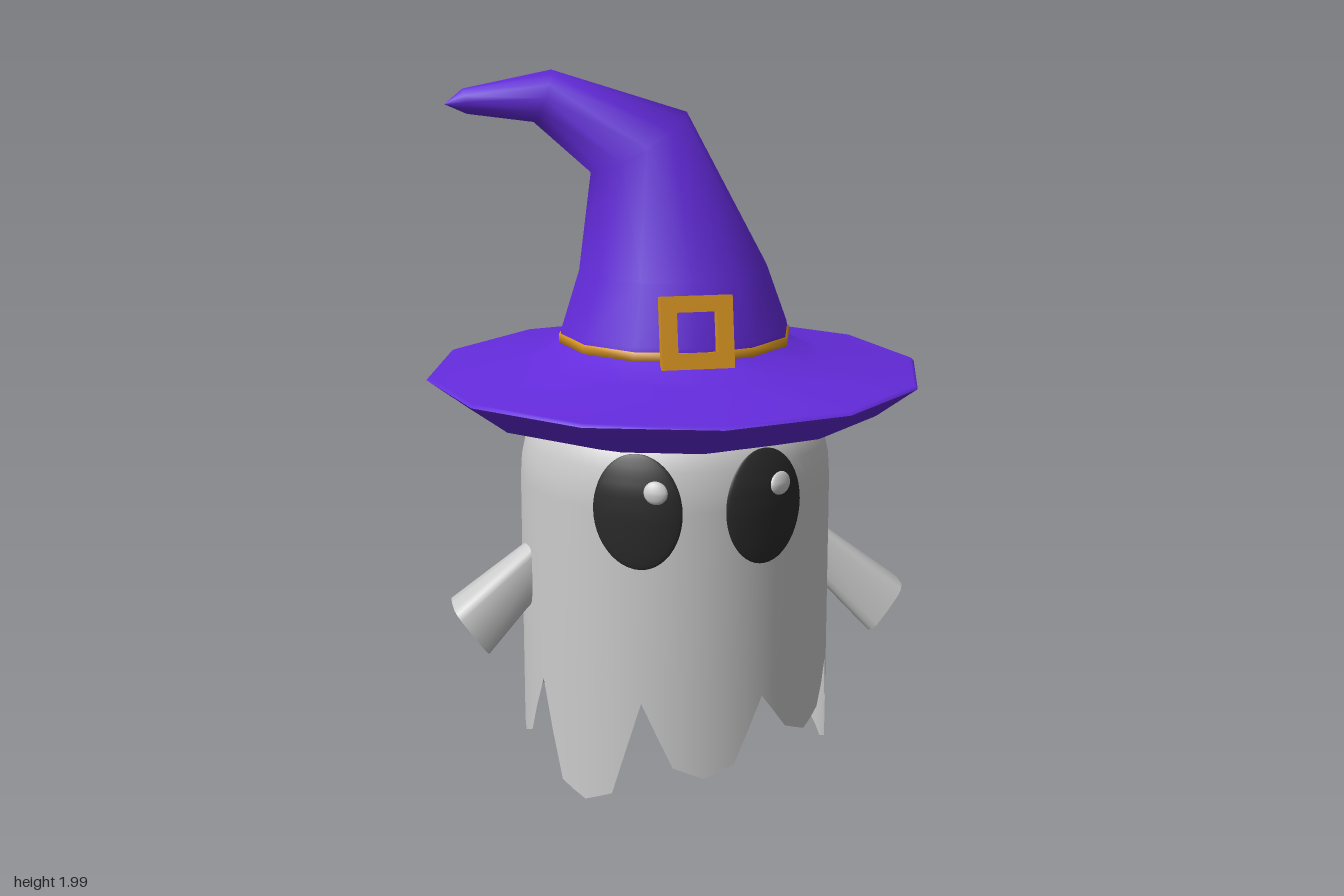
import * as THREE from 'three';
import { toCreasedNormals } from 'three/addons/utils/BufferGeometryUtils.js';

const mat = (color, side = THREE.FrontSide) =>
  new THREE.MeshStandardMaterial({ color, side });
const cloth = mat(0xcccccc, THREE.DoubleSide);
const grey = mat(0xcccccc);
const purple = mat(0x642bdc, THREE.DoubleSide);
const gold = mat(0xd4921e);
const dark = mat(0x2a2a2a);

function add(parent, name, geometry, material) {
  const mesh = new THREE.Mesh(geometry, material);
  mesh.name = name;
  parent.add(mesh);
  return mesh;
}

const lathe = (points, segments) =>
  new THREE.LatheGeometry(points.map(([r, y]) => new THREE.Vector2(r, y)), segments);

// Skin over rings; each ring is [ax, ay, bx, by, half width in z], a power below 1 squares it off
function loft(rings, sides, z = 0, power = 1) {
  const pos = [], index = [];
  const bend = (v) => Math.sign(v) * Math.abs(v) ** power;
  for (const [ax, ay, bx, by, w] of rings) {
    for (let j = 0; j < sides; j++) {
      const t = (j / sides) * Math.PI * 2;
      const c = bend(Math.round(Math.cos(t) * 1e6) / 1e6);
      const s = bend(Math.round(Math.sin(t) * 1e6) / 1e6);
      pos.push((ax + bx) / 2 + ((bx - ax) / 2) * c, (ay + by) / 2 + ((by - ay) / 2) * c, z + w * s);
    }
  }
  for (let i = 0; i < rings.length - 1; i++) {
    for (let j = 0; j < sides; j++) {
      const k = (j + 1) % sides;
      const a = i * sides + j, b = i * sides + k;
      index.push(a, a + sides, b, b, a + sides, b + sides);
    }
  }
  const g = new THREE.BufferGeometry();
  g.setAttribute('position', new THREE.Float32BufferAttribute(pos, 3));
  g.setIndex(index);
  g.computeVertexNormals();
  return g;
}

// Radius of the body at a height
const bodyProfile = [[0.44, 0.32], [0.44, 0.86], [0.436, 0.92], [0.425, 0.97], [0.41, 1.02],
  [0.33, 1.12], [0.18, 1.19], [0, 1.21]];
function bodyRadius(y) {
  for (let i = 1; i < bodyProfile.length; i++) {
    const [r0, y0] = bodyProfile[i - 1], [r1, y1] = bodyProfile[i];
    if (y <= y1) return r0 + (r1 - r0) * Math.max(0, (y - y0) / (y1 - y0));
  }
  return 0;
}

// Sheet body: lathe whose lowest ring is pulled down into eight ragged points
function bodyGeometry() {
  const tips = [0.1, 0.175, 0.015, 0.09, 0.175, 0.11, 0.1, 0.01]; // from the front towards +x
  const segments = 64, rows = bodyProfile.length + 1;
  const g = lathe([[0.44, 0], ...bodyProfile.map(([r, y], i) => (i ? [r, y] : [r, 0.4]))], segments);
  const p = g.attributes.position;
  for (let i = 0; i <= segments; i++) {
    const tooth = Math.round(i / 8 - 1e-6);
    const d = Math.abs(i - tooth * 8); // 0 at the tip, 4 at the notch
    const low = tips[(tooth + 8) % 8];
    const y = d <= 2 ? low + 0.0175 * d : THREE.MathUtils.lerp(low + 0.035, 0.32, (d - 2) / 2);
    p.setY(i * rows, y);
  }
  return g;
}

// Flattened ball laid over the curved front of the body
function eyeGeometry(cx, cy, rx, ry, base, bulge) {
  const g = new THREE.SphereGeometry(1, 32, 24);
  const p = g.attributes.position;
  for (let i = 0; i < p.count; i++) {
    const x = cx + rx * p.getX(i), y = cy + ry * p.getY(i);
    const r = bodyRadius(y);
    p.setXYZ(i, x, y, Math.sqrt(r * r - x * x) + base + bulge * p.getZ(i));
  }
  g.computeVertexNormals();
  return g;
}

function buckleGeometry() {
  const square = (s, Type) => new Type([[-s, -s], [s, -s], [s, s], [-s, s]]
    .map(([x, y]) => new THREE.Vector2(x, y)));
  const shape = square(0.098, THREE.Shape);
  shape.holes.push(square(0.054, THREE.Path));
  const g = new THREE.ExtrudeGeometry(shape, { depth: 0.036, bevelEnabled: false });
  return g.translate(0, 0, -0.018);
}

export function createModel() {
  const model = new THREE.Group();
  model.name = 'ghost';

  add(model, 'sheetBody', bodyGeometry(), cloth);

  // Stubby arms that widen towards the end
  const armGeometry = toCreasedNormals(loft([
    [0.38, 0.726, 0.38, 0.56, 0.04],
    [0.44, 0.68, 0.445, 0.495, 0.05],
    [0.65, 0.52, 0.55, 0.38, 0.0875],
    [0.6, 0.45, 0.6, 0.45, 0],
  ], 16, 0.058, 0.5), 0.9);
  add(model, 'leftArm', armGeometry, cloth);
  add(model, 'rightArm', armGeometry, cloth).scale.x = -1;

  // Eyes, both highlights shifted the same way
  for (const [name, x, shine] of [['left', 0.172, 0.218], ['right', -0.172, -0.13]]) {
    add(model, name + 'Eye', eyeGeometry(x, 0.86, 0.113, 0.157, 0, 0.012), dark);
    add(model, name + 'EyeHighlight', eyeGeometry(shine, 0.92, 0.031, 0.031, 0.01, 0.014), grey);
  }

  // Hat
  const hat = new THREE.Group();
  hat.name = 'hat';
  model.add(hat);
  add(hat, 'brimUnderside', lathe([[0.38, 1.02], [0.42, 1.02], [0.585, 1.07], [0.7, 1.155]], 12), purple);
  add(hat, 'brimTop', lathe([[0.7, 1.155], [0.69, 1.164], [0.42, 1.2], [0.325, 1.25]], 12), purple);
  add(hat, 'crown', loft([
    [-0.325, 1.25, 0.325, 1.25, 0.325],
    [-0.322, 1.285, 0.322, 1.285, 0.322],
    [-0.27, 1.45, 0.262, 1.45, 0.274],
    [-0.235, 1.72, 0.033, 1.88, 0.156],
    [-0.39, 1.86, -0.34, 2.0, 0.077],
    [-0.57, 1.885, -0.58, 1.953, 0.033],
    [-0.63, 1.912, -0.63, 1.912, 0],
  ], 12), purple);
  add(hat, 'band', lathe([[0.315, 1.247], [0.329, 1.248], [0.329, 1.272], [0.315, 1.273]], 12), gold);
  const buckle = add(hat, 'buckle', buckleGeometry(), gold);
  buckle.position.set(0, 1.328, 0.317);
  buckle.rotation.x = -0.2;

  return model;
}
